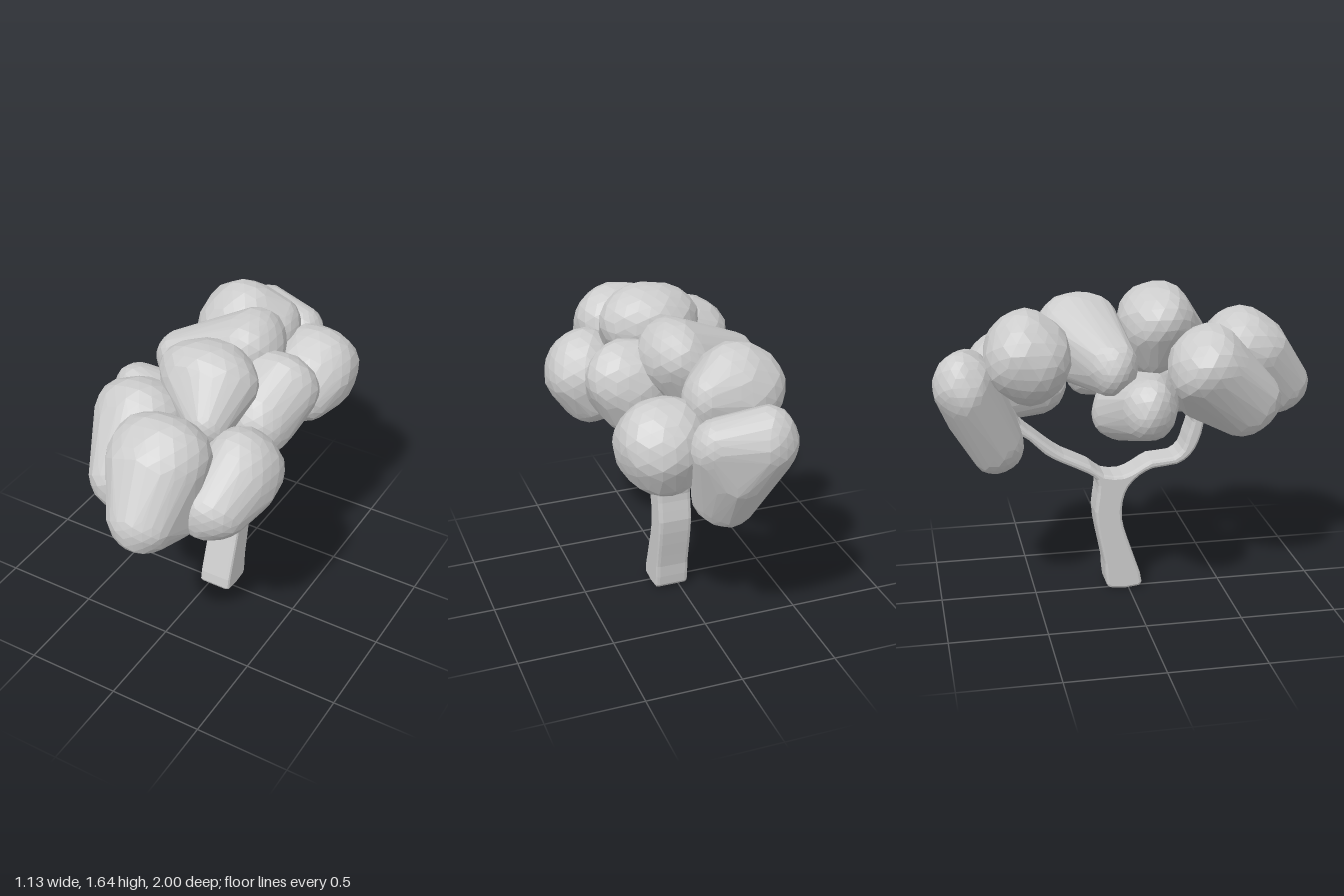
import * as THREE from 'three';
import { ConvexGeometry } from 'three/addons/geometries/ConvexGeometry.js';

const material = new THREE.MeshStandardMaterial({ color: 0xcccccc, flatShading: true });

// Points of one slightly lumpy ellipsoid
function lobePoints([x, y, z, rx, ry, rz]) {
  const pos = new THREE.IcosahedronGeometry(1, 3).attributes.position;
  const seed = x * 17 + z * 29 + y * 7;
  return Array.from({ length: pos.count }, (_, i) => {
    const v = new THREE.Vector3().fromBufferAttribute(pos, i);
    const lump = 1
      + 0.03 * Math.sin(3.1 * v.x + 2.3 * v.y + seed)
      + 0.03 * Math.sin(4.3 * v.z - 2.9 * v.y + seed * 1.7)
      + 0.012 * Math.sin(9.7 * v.x + 8.1 * v.z + 7.3 * v.y + seed);
    return new THREE.Vector3(x + v.x * rx * lump, y + v.y * ry * lump, z + v.z * rz * lump);
  });
}

// Leaf clump: one faceted skin stretched over its lobes
function leafClump(name, lobes) {
  const mesh = new THREE.Mesh(new ConvexGeometry(lobes.flatMap(lobePoints)), material);
  mesh.name = name;
  return mesh;
}

// Forked trunk: side silhouette (towards the back, up) extruded across x with a bevel
function trunk() {
  const outline = [
    // foot and back edge
    [-0.072, 0.03], [-0.055, 0.008], [0.1, 0.008], [0.12, 0.03], [0.13, 0.15], [0.16, 0.3],
    [0.18, 0.45], [0.165, 0.56], [0.17, 0.63],
    // back branch
    [0.22, 0.67], [0.36, 0.74], [0.44, 0.79], [0.52, 0.87], [0.6, 0.93], [0.64, 1.02],
    [0.6, 1.03], [0.56, 0.96], [0.48, 0.89], [0.41, 0.83], [0.34, 0.78], [0.2, 0.71],
    // crotch
    [0.13, 0.655], [0.03, 0.645], [-0.04, 0.675],
    // front branch
    [-0.12, 0.72], [-0.24, 0.73], [-0.29, 0.77], [-0.315, 0.84], [-0.34, 0.92], [-0.34, 1.0],
    [-0.4, 1.0], [-0.4, 0.9], [-0.375, 0.81], [-0.33, 0.735], [-0.26, 0.69], [-0.13, 0.675],
    // front edge
    [-0.06, 0.64], [0, 0.58], [0.03, 0.5], [0.035, 0.4], [0.01, 0.3], [-0.04, 0.15],
  ];
  const curve = new THREE.CatmullRomCurve3(outline.map(([u, y]) => new THREE.Vector3(u, y, 0)), true);
  const shape = new THREE.Shape(curve.getPoints(outline.length * 2).slice(0, -1)
    .map((p) => new THREE.Vector2(p.x, p.y)));
  const geometry = new THREE.ExtrudeGeometry(shape, {
    depth: 0.14, bevelEnabled: true, bevelThickness: 0.02,
    bevelSize: 0.015, bevelOffset: -0.015, bevelSegments: 2,
  });
  geometry.rotateY(Math.PI / 2);
  geometry.translate(-0.025, 0, 0);
  const mesh = new THREE.Mesh(geometry, material);
  mesh.name = 'trunk';
  return mesh;
}

export function createModel() {
  const tree = new THREE.Group();
  tree.name = 'tree';
  tree.add(trunk());

  // Crown: each lobe is a centre followed by its radii
  const clumps = {
    frontClump: [
      [0.08, 1.28, 0.63, 0.25, 0.21, 0.23],
      [0.11, 1.06, 0.83, 0.17, 0.16, 0.17],
      [0.18, 1.01, 0.7, 0.12, 0.12, 0.14],
    ],
    frontRightClump: [
      [-0.19, 1.26, 0.38, 0.23, 0.21, 0.22],
      [-0.14, 1.06, 0.57, 0.18, 0.19, 0.2],
      [-0.1, 1.09, 0.38, 0.14, 0.14, 0.14],
    ],
    frontLeftClump: [
      [0.36, 1.13, 0.37, 0.21, 0.22, 0.22],
      [0.33, 1.05, 0.57, 0.18, 0.17, 0.18],
      [0.34, 1.0, 0.32, 0.16, 0.13, 0.15],
    ],
    topClump: [
      [0.07, 1.45, 0.16, 0.25, 0.2, 0.21],
      [0.17, 1.33, 0.33, 0.11, 0.13, 0.12],
      [0.07, 1.32, 0.14, 0.18, 0.16, 0.15],
    ],
    middleLeftClump: [
      [0.28, 1.28, -0.14, 0.22, 0.21, 0.19],
      [0.27, 1.2, 0.0, 0.19, 0.19, 0.18],
      [0.26, 1.14, -0.13, 0.17, 0.13, 0.16],
    ],
    middleRightClump: [
      [-0.42, 1.12, 0.02, 0.15, 0.16, 0.14],
      [-0.15, 1.05, -0.08, 0.17, 0.16, 0.13],
      [-0.25, 1.1, 0.08, 0.13, 0.15, 0.13],
      [-0.03, 1.08, -0.02, 0.12, 0.13, 0.12],
    ],
    backTopClump: [
      [0.07, 1.42, -0.24, 0.18, 0.19, 0.22],
      [-0.28, 1.3, -0.13, 0.12, 0.14, 0.13],
      [0.02, 1.28, -0.24, 0.15, 0.14, 0.16],
    ],
    backRightClump: [
      [-0.13, 1.34, -0.53, 0.23, 0.23, 0.22],
      [0.04, 1.33, -0.6, 0.12, 0.16, 0.13],
    ],
    backLeftClump: [
      [0.28, 1.16, -0.6, 0.23, 0.22, 0.22],
      [0.27, 1.09, -0.46, 0.18, 0.16, 0.18],
      [0.26, 1.05, -0.62, 0.17, 0.15, 0.17],
    ],
    backClump: [
      [-0.15, 1.2, -0.85, 0.16, 0.18, 0.15],
      [0.07, 1.19, -0.82, 0.13, 0.15, 0.12],
      [-0.03, 1.06, -0.78, 0.19, 0.18, 0.16],
      [-0.02, 0.87, -0.69, 0.16, 0.16, 0.15],
    ],
  };
  const foliage = new THREE.Group();
  foliage.name = 'foliage';
  for (const [name, lobes] of Object.entries(clumps)) foliage.add(leafClump(name, lobes));
  tree.add(foliage);
  return tree;
}
